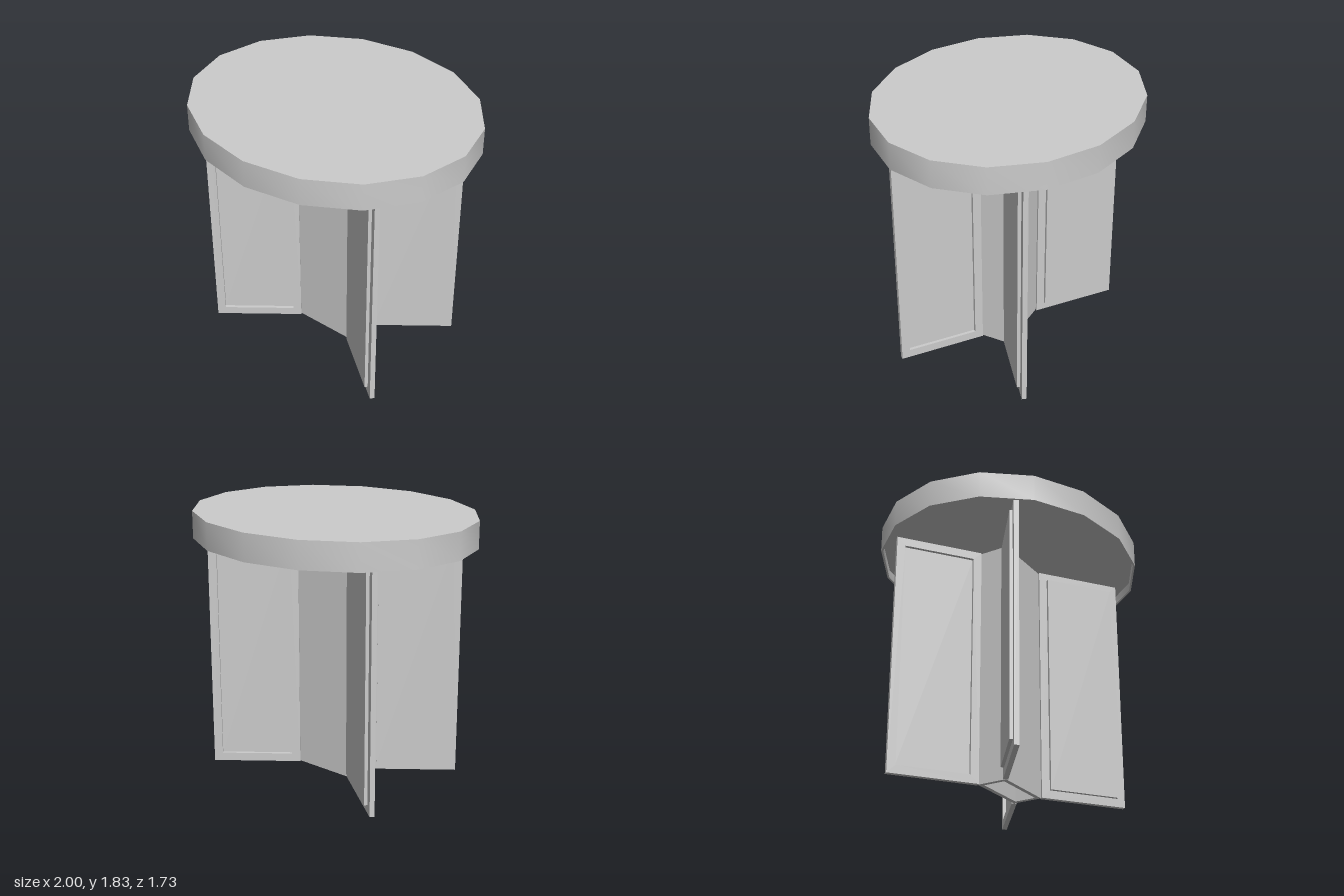
import * as THREE from 'three';
import { toCreasedNormals } from 'three/addons/utils/BufferGeometryUtils.js';

const material = new THREE.MeshStandardMaterial({ color: 0xcccccc });

function part(name, geometry, parent) {
  const mesh = new THREE.Mesh(geometry, material);
  mesh.name = name;
  parent.add(mesh);
  return mesh;
}

function rectPoints(x0, y0, x1, y1) {
  return [[x0, y0], [x1, y0], [x1, y1], [x0, y1]].map(([x, y]) => new THREE.Vector2(x, y));
}

// Rectangle with an even border, extruded into a hollow frame
function frameGeometry(x0, y0, x1, y1, border, depth) {
  const shape = new THREE.Shape(rectPoints(x0, y0, x1, y1));
  shape.holes.push(new THREE.Path(
    rectPoints(x0 + border, y0 + border, x1 - border, y1 - border).reverse()));
  return new THREE.ExtrudeGeometry(shape, { depth, bevelEnabled: false });
}

export function createModel() {
  const model = new THREE.Group();
  model.name = 'table';

  const baseHeight = 1.705;
  const boardThickness = 0.033;
  const border = 0.058;
  const finLength = 0.612;
  const finAngle = 0.655;
  const panelShift = 0.022;

  // Sixteen-sided oval top with a shallow hollow underside
  const profile = [
    [0, baseHeight], [0.985, baseHeight], [0.985, 1.645], [1, 1.645], [1, 1.83], [0, 1.83],
  ].map(([r, y]) => new THREE.Vector2(r, y));
  const top = new THREE.LatheGeometry(profile, 16);
  top.scale(1, 1, 0.865);
  part('tabletop', toCreasedNormals(top, 0.7), model);

  // Hollow rectangular column
  const column = frameGeometry(-0.225, -0.105, 0.225, 0.105, 0.03, baseHeight);
  column.rotateX(-Math.PI / 2);
  part('column', column, model);

  // Four diagonal fins, each a frame with a panel shifted to one side
  const frame = frameGeometry(0, 0, finLength, baseHeight, border, boardThickness);
  frame.translate(0, 0, -boardThickness / 2);
  const panel = new THREE.BoxGeometry(
    finLength - 2 * border, baseHeight - 2 * border, boardThickness);
  panel.translate(finLength / 2, baseHeight / 2, panelShift);

  for (const [sx, sz] of [[1, 1], [-1, 1], [-1, -1], [1, -1]]) {
    const fin = new THREE.Group();
    fin.name = 'fin';
    fin.position.set(sx * 0.225, 0, sz * 0.104);
    fin.rotation.y = -Math.atan2(sz * Math.sin(finAngle), sx * Math.cos(finAngle));
    part('finFrame', frame, fin);
    part('finPanel', panel, fin);
    model.add(fin);
  }
  return model;
}
